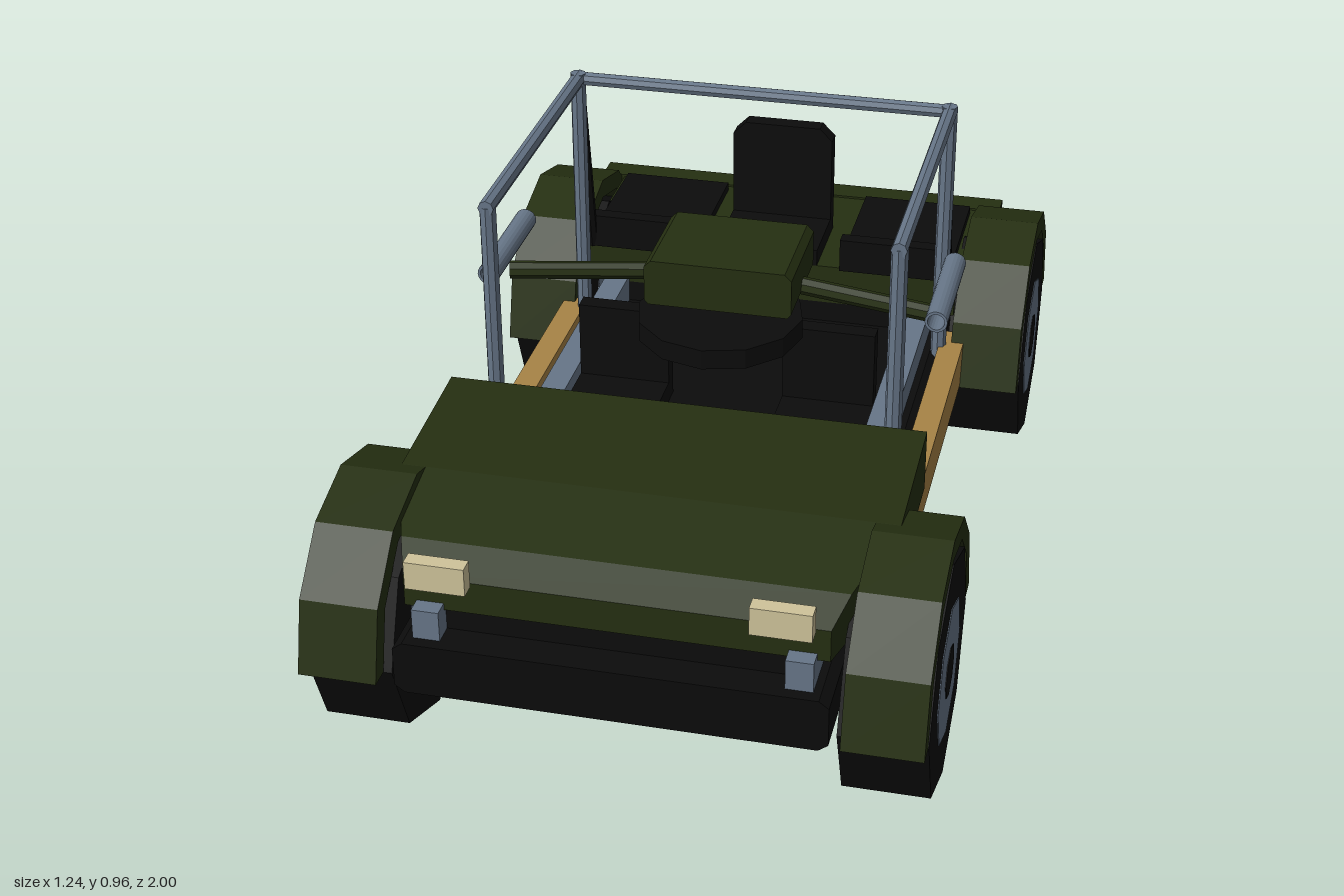
import * as THREE from 'three';

const mat = (name, color) => {
  const m = new THREE.MeshStandardMaterial({ color });
  m.name = name;
  m.flatShading = true;
  return m;
};

export function createModel() {
  const car = new THREE.Group();
  car.name = 'openBuggy';
  const green = mat('olive green', 0x252f11);
  const black = mat('black', 0x0c0c0c);
  const steel = mat('blue grey', 0x677688);
  const ochre = mat('ochre', 0xa88446);
  const cream = mat('cream', 0xcfc49b);

  const add = (name, geo, m) => {
    const mesh = new THREE.Mesh(geo, m);
    mesh.name = name;
    car.add(mesh);
    return mesh;
  };
  // Box given by its limits on each axis
  const box = (name, m, x0, x1, y0, y1, z0, z1) => {
    const g = new THREE.BoxGeometry(Math.abs(x1 - x0), y1 - y0, z1 - z0);
    g.translate((x0 + x1) / 2, (y0 + y1) / 2, (z0 + z1) / 2);
    return add(name, g, m);
  };
  // Round bar between two points
  const bar = (name, m, a, b, r, sides = 8) => {
    const p = new THREE.Vector3(...a), q = new THREE.Vector3(...b);
    const mesh = add(name, new THREE.CylinderGeometry(r, r, p.distanceTo(q), sides), m);
    mesh.position.copy(p).add(q).multiplyScalar(0.5);
    mesh.quaternion.setFromUnitVectors(new THREE.Vector3(0, 1, 0), q.sub(p).normalize());
    return mesh;
  };
  // Solid with a front outline (x, y) between two z values
  const plate = (name, m, pts, z0, z1) => {
    const shape = new THREE.Shape(pts.map(([x, y]) => new THREE.Vector2(x, y)));
    const g = new THREE.ExtrudeGeometry(shape, { depth: z1 - z0, bevelEnabled: false });
    g.translate(0, 0, z0);
    return add(name, g, m);
  };
  // Rectangular sections [z, halfWidth, bottom, top] joined along z
  const loft = (name, m, sections) => {
    const pos = [], idx = [];
    sections.forEach(([z, w, b, t]) => pos.push(-w, b, z, w, b, z, w, t, z, -w, t, z));
    for (let s = 0; s < sections.length - 1; s++) {
      for (let k = 0; k < 4; k++) {
        const a = s * 4 + k, b = s * 4 + (k + 1) % 4;
        idx.push(a, b, b + 4, a, b + 4, a + 4);
      }
    }
    const e = (sections.length - 1) * 4;
    idx.push(0, 2, 1, 0, 3, 2, e, e + 1, e + 2, e, e + 2, e + 3);
    const g = new THREE.BufferGeometry();
    g.setAttribute('position', new THREE.Float32BufferAttribute(pos, 3));
    g.setIndex(idx);
    const flat = g.toNonIndexed();
    flat.computeVertexNormals();
    return add(name, flat, m);
  };

  // Hull with clipped corners, and the bulkhead under the bonnet
  plate('hull', black, [[-0.41, 0.225], [0.41, 0.225], [0.43, 0.24], [0.43, 0.325], [0.41, 0.34],
    [-0.41, 0.34], [-0.43, 0.325], [-0.43, 0.24]], -0.97, 0.97);
  box('frontBulkhead', black, -0.39, 0.39, 0.33, 0.41, 0.4, 0.9);
  box('rearBulkhead', black, -0.39, 0.39, 0.33, 0.41, -0.9, -0.5);

  // Bonnet, narrowing and dropping to the nose
  loft('bonnet', green, [[0.33, 0.507, 0.43, 0.565], [0.65, 0.507, 0.42, 0.542],
    [0.84, 0.445, 0.4, 0.5], [0.91, 0.42, 0.39, 0.46]]);

  // Rear deck, tail bar and central seat
  box('rearDeck', green, -0.45, 0.45, 0.39, 0.485, -0.94, -0.5);
  box('tailBar', green, -0.505, 0.505, 0.42, 0.49, -0.945, -0.88);
  box('rearSeatBase', black, -0.12, 0.12, 0.48, 0.525, -0.71, -0.5);
  plate('rearSeatBack', black, [[-0.12, 0.48], [0.12, 0.48], [0.12, 0.73], [0.09, 0.76],
    [-0.09, 0.76], [-0.12, 0.73]], -0.71, -0.67);

  // Fender outline: half ring in six straight segments
  const arc = (r, k) => new THREE.Vector2(r * Math.cos(k * Math.PI / 6), r * Math.sin(k * Math.PI / 6));
  const ring = [];
  for (let k = 0; k <= 6; k++) ring.push(arc(0.3, k));
  for (let k = 6; k >= 0; k--) ring.push(arc(0.255, k));
  const fenderGeo = new THREE.ExtrudeGeometry(new THREE.Shape(ring), { depth: 0.16, bevelEnabled: false });
  fenderGeo.translate(0, 0, -0.08).rotateY(Math.PI / 2);

  for (const s of [-1, 1]) {
    // Wheels and fenders
    for (const z of [-0.7, 0.7]) {
      for (const [name, m, r, w] of [['tyre', black, 0.25, 0.176], ['rim', steel, 0.148, 0.18], ['hubCap', black, 0.055, 0.184]]) {
        const wheel = add(name, new THREE.CylinderGeometry(r, r, w, 8).rotateZ(Math.PI / 2), m);
        wheel.position.set(s * 0.53, 0.25, z);
      }
      add('fender', fenderGeo, green).position.set(s * 0.537, 0.255, z);
    }

    // Chassis rails, sills and lamps
    box('chassisRail', steel, s * 0.34, s * 0.395, 0.31, 0.405, -0.945, 0.945);
    box('sill', ochre, s * 0.43, s * 0.485, 0.26, 0.358, -0.48, 0.48);
    box('headlamp', cream, s * 0.275, s * 0.395, 0.47, 0.53, 0.935, 0.968);

    // Roll cage side
    const x = s * 0.428;
    bar('frontPost', steel, [x, 0.27, 0.27], [x, 0.945, 0.27], 0.018);
    bar('rearPost', steel, [x, 0.27, -0.415], [x, 0.96, -0.415], 0.018);
    bar('topRail', steel, [x, 0.945, 0.285], [x, 0.945, -0.43], 0.017);
    bar('rearBrace', black, [x, 0.93, -0.425], [x, 0.48, -0.505], 0.012, 6);

    // Seats and rear deck pads
    box('frontSeatBack', black, s * 0.13, s * 0.335, 0.33, 0.56, -0.09, -0.05);
    box('frontSeatBase', black, s * 0.13, s * 0.335, 0.33, 0.385, -0.06, 0.14);
    box('deckPad', black, s * 0.175, s * 0.435, 0.48, 0.505, -0.86, -0.5);
    box('deckPadRidge', black, s * 0.175, s * 0.435, 0.48, 0.56, -0.53, -0.495);

    // Open side tube on its bracket and arm
    const tube = new THREE.Shape().absarc(0, 0, 0.024, 0, Math.PI * 2);
    tube.holes.push(new THREE.Path().absarc(0, 0, 0.018, 0, Math.PI * 2, true));
    const tubeGeo = new THREE.ExtrudeGeometry(tube, { depth: 0.28, bevelEnabled: false, curveSegments: 10 });
    add('sideTube', tubeGeo, steel).position.set(s * 0.487, 0.702, -0.165);
    bar('turretArm', green, [s * 0.12, 0.641, -0.11], [s * 0.485, 0.641, -0.03], 0.02, 8);
  }
  bar('cageCrossbar', steel, [-0.428, 0.945, -0.42], [0.428, 0.945, -0.42], 0.016);

  // Turret with its turntable
  const turntable = add('turntable', new THREE.CylinderGeometry(0.183, 0.183, 0.045, 12), black);
  turntable.position.set(0, 0.588, 0);
  box('turretNeck', black, -0.12, 0.12, 0.6, 0.63, -0.17, 0);
  plate('turret', green, [[-0.155, 0.625], [0.155, 0.625], [0.163, 0.635], [0.163, 0.715], [0.148, 0.73],
    [-0.148, 0.73], [-0.163, 0.715], [-0.163, 0.635]], -0.22, 0.03);

  return car;
}
